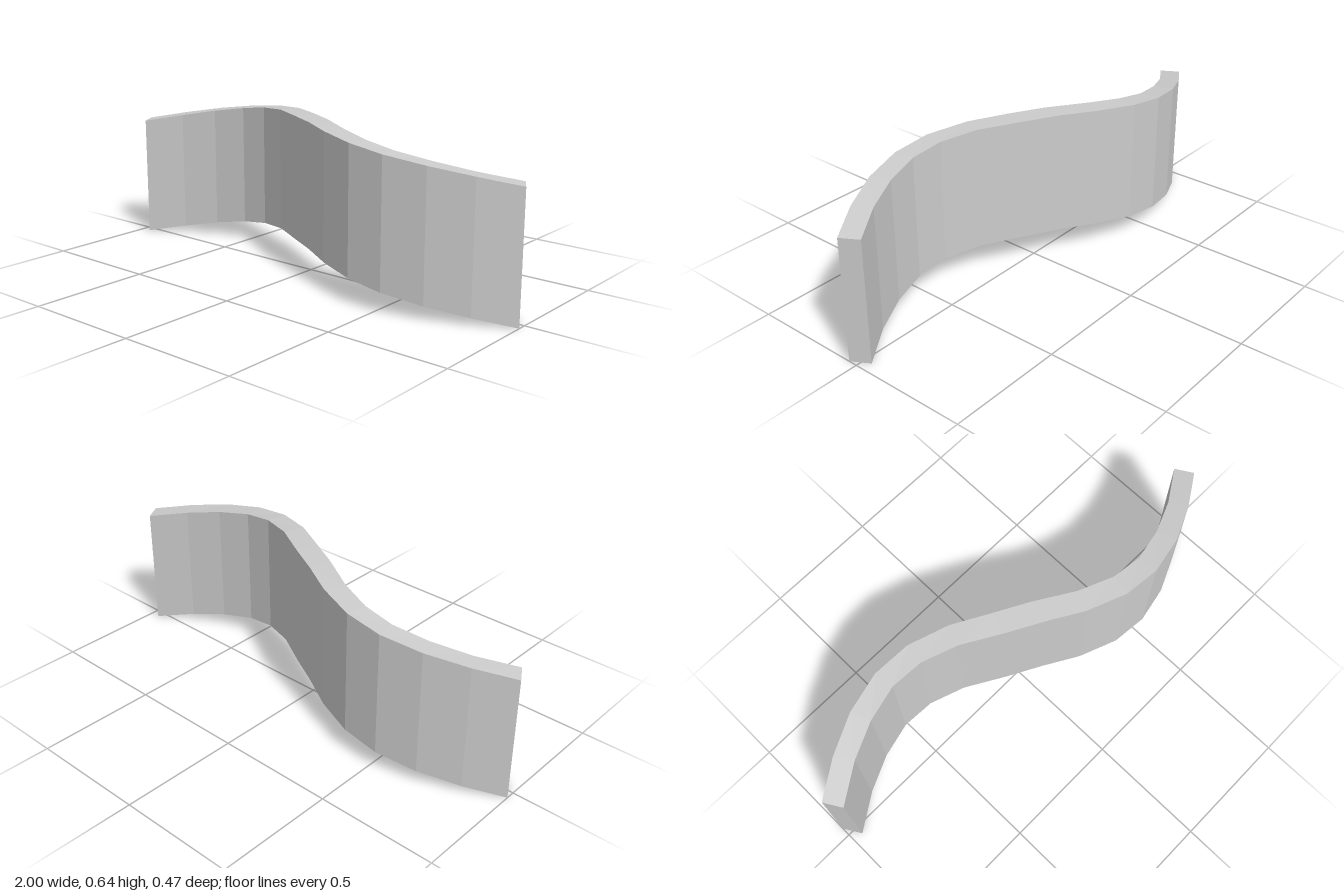
import * as THREE from 'three';

// Plan of the wall's back edge [x, z]; the front edge is its half-turn copy.
const BACK = [
  [-1, -0.037], [-0.855, -0.128], [-0.697, -0.2], [-0.53, -0.237], [-0.37, -0.226],
  [-0.205, -0.167], [-0.06, -0.085], [0.08, -0.01], [0.24, 0.085], [0.385, 0.14],
  [0.52, 0.152], [0.665, 0.12], [0.81, 0.058], [0.957, -0.035],
];
// Rise of the arch from either end to the middle
const RISE = [0, 0.03, 0.058, 0.082, 0.101, 0.115, 0.121];
const HEIGHT = 0.52;

function createWallGeometry() {
  const n = BACK.length;
  // One rectangular cross-section per station
  const sections = BACK.map(([bx, bz], i) => {
    const [fx, fz] = BACK[n - 1 - i].map((v) => -v);
    const y = RISE[Math.min(i, n - 1 - i)];
    return [[bx, y, bz], [fx, y, fz], [fx, y + HEIGHT, fz], [bx, y + HEIGHT, bz]];
  });

  const positions = [];
  const quad = (a, b, c, d) => positions.push(...a, ...b, ...c, ...a, ...c, ...d);

  // Underside, front, top and back between neighbouring sections
  for (let i = 0; i < n - 1; i++) {
    const s = sections[i], t = sections[i + 1];
    for (let k = 0; k < 4; k++) {
      const m = (k + 1) % 4;
      quad(s[k], t[k], t[m], s[m]);
    }
  }
  // End caps
  quad(...sections[0]);
  quad(...[...sections[n - 1]].reverse());

  const geometry = new THREE.BufferGeometry();
  geometry.setAttribute('position', new THREE.Float32BufferAttribute(positions, 3));
  geometry.computeVertexNormals();
  return geometry;
}

export function createModel() {
  const group = new THREE.Group();
  group.name = 'archedWaveWall';
  const material = new THREE.MeshStandardMaterial({ color: 0xcccccc, flatShading: true });
  const wall = new THREE.Mesh(createWallGeometry(), material);
  wall.name = 'curvedWall';
  group.add(wall);
  return group;
}
